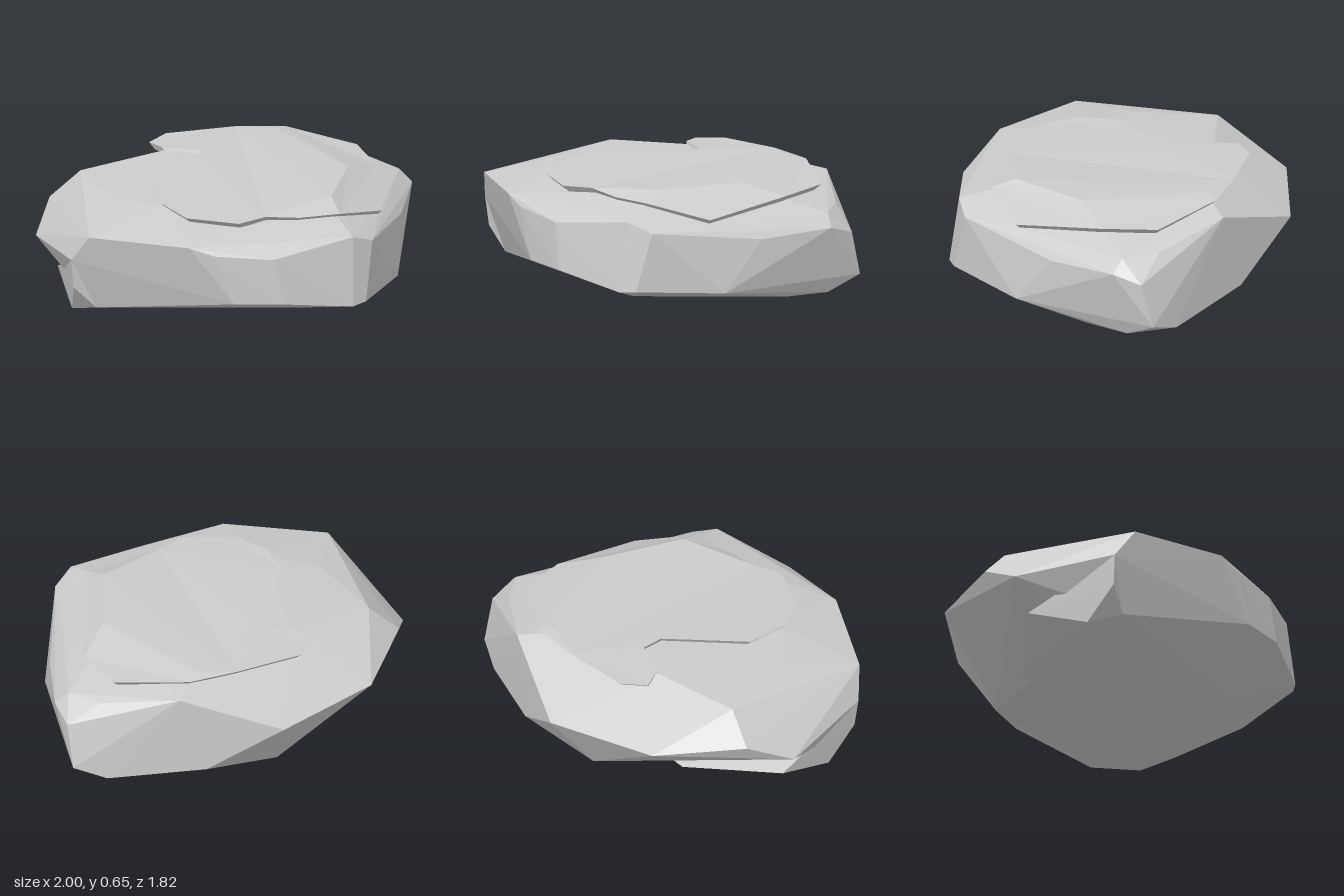
import * as THREE from 'three';
import { ConvexGeometry } from 'three/addons/geometries/ConvexGeometry.js';

const stone = new THREE.MeshStandardMaterial({ color: 0xcccccc, flatShading: true });
const thinStone = new THREE.MeshStandardMaterial({ color: 0xcccccc, flatShading: true, side: THREE.DoubleSide });

// Faceted boulder piece from its corner points
function hull(name, corners) {
  const mesh = new THREE.Mesh(new ConvexGeometry(corners.map(c => new THREE.Vector3(...c))), stone);
  mesh.name = name;
  return mesh;
}

// Fill a polygon of 3D corners, triangulated in plan and facing up
function fillUp(out, ring) {
  const plan = ring.map(p => new THREE.Vector2(p[0], p[2]));
  for (const [a, b, c] of THREE.ShapeUtils.triangulateShape(plan, [])) {
    const ab = plan[b].clone().sub(plan[a]), ac = plan[c].clone().sub(plan[a]);
    const order = ab.cross(ac) < 0 ? [a, b, c] : [a, c, b];
    order.forEach(i => out.push(...ring[i]));
  }
}

// Thin slab: flat cap, sloping flank and a low undercut wall around the outline
function makeSlab(capEdge, flankEdge, fold, depth) {
  const out = [];
  fillUp(out, [...capEdge, ...fold]);
  fillUp(out, [...flankEdge, ...fold]);
  const outline = [...capEdge.slice(0, -1), ...[...flankEdge].reverse().slice(0, -1)];
  const under = ([x, y, z]) => [0.25 + (x - 0.25) * 0.95, y - depth, -0.05 + (z + 0.05) * 0.95];
  outline.forEach((p, i) => {
    const q = outline[(i + 1) % outline.length];
    out.push(...p, ...under(q), ...q, ...p, ...under(p), ...under(q));
  });
  const geometry = new THREE.BufferGeometry();
  geometry.setAttribute('position', new THREE.Float32BufferAttribute(out, 3));
  geometry.computeVertexNormals();
  const mesh = new THREE.Mesh(geometry, thinStone);
  mesh.name = 'topSlab';
  return mesh;
}

export function createModel() {
  const group = new THREE.Group();
  group.name = 'rock';

  // Corner rings of the main rock, from the ground up
  const base = [
    [0.55, 0.02, 0.39], [0.88, 0.02, -0.39], [0.86, 0.02, -0.65], [0.63, 0.02, -0.76],
    [-0.27, 0.02, -0.64], [-0.6, 0.01, 0.42], [-0.58, 0.06, 0.7],
  ];
  const lower = [
    [0.23, 0.2, 0.875], [0.5, 0.195, 0.815], [0.85, 0.125, 0.6], [0.91, 0.13, 0.52],
    [1, 0.1, 0.02], [0.87, 0.11, -0.84], [0.68, 0.05, -0.86], [0.13, 0.12, -0.89],
  ];
  const shoulder = [
    [-0.71, 0.36, 0.77], [-0.6, 0.52, 0.82], [-0.02, 0.53, 0.91], [0.12, 0.485, 0.895],
    [0.44, 0.455, 0.815], [0.84, 0.515, 0.54], [0.93, 0.46, 0.43], [0.98, 0.385, -0.21],
    [0.965, 0.41, -0.63], [0.89, 0.48, -0.64], [0.9, 0.36, -0.78], [0.71, 0.49, -0.76],
    [0.28, 0.58, -0.88], [-0.3, 0.39, -0.91], [-0.8, 0.4, -0.5], [-0.97, 0.43, 0], [-1, 0.3, 0.27],
  ];
  const crown = [
    [-0.8, 0.59, -0.02], [-0.55, 0.59, 0.38], [-0.22, 0.607, 0.5], [0.4, 0.59, 0.45],
    [0.62, 0.62, 0.25], [0.9, 0.48, 0.08], [0.62, 0.62, -0.2], [0.18, 0.625, -0.7], [-0.38, 0.628, -0.31],
  ];
  group.add(hull('rockBody', [...base, ...lower, ...shoulder, ...crown]));

  // Foot bulging out below the overhang
  group.add(hull('rockFoot', [
    [-0.71, 0.36, 0.77], [-0.7, 0.19, 0.75], [-0.58, 0.06, 0.7], [-0.74, 0, 0.58],
    [-0.88, 0.12, 0.25], [-0.5, 0.02, -0.2], [-0.2, 0.02, -0.3], [-0.4, 0.25, 0.4],
  ]));

  // Broken layer lying over the top, with an S-shaped edge
  const capEdge = [
    [0.22, 0.635, -0.78], [-0.05, 0.645, -0.7], [-0.41, 0.64, -0.54], [-0.48, 0.635, -0.4],
    [-0.39, 0.645, -0.31], [-0.17, 0.65, -0.3], [-0.13, 0.65, -0.18], [-0.33, 0.64, 0.28],
    [-0.25, 0.63, 0.51], [-0.08, 0.61, 0.66], [0.22, 0.605, 0.68], [0.35, 0.61, 0.56],
    [0.53, 0.59, 0.49], [0.74, 0.59, 0.39],
  ];
  const flankEdge = [
    [0.22, 0.635, -0.78], [0.64, 0.585, -0.7], [0.8, 0.575, -0.43], [0.92, 0.505, 0.08], [0.74, 0.59, 0.39],
  ];
  const fold = [[0.67, 0.645, 0.27], [0.68, 0.645, -0.2], [0.18, 0.65, -0.7]];
  group.add(makeSlab(capEdge, flankEdge, fold, 0.035));
  return group;
}
